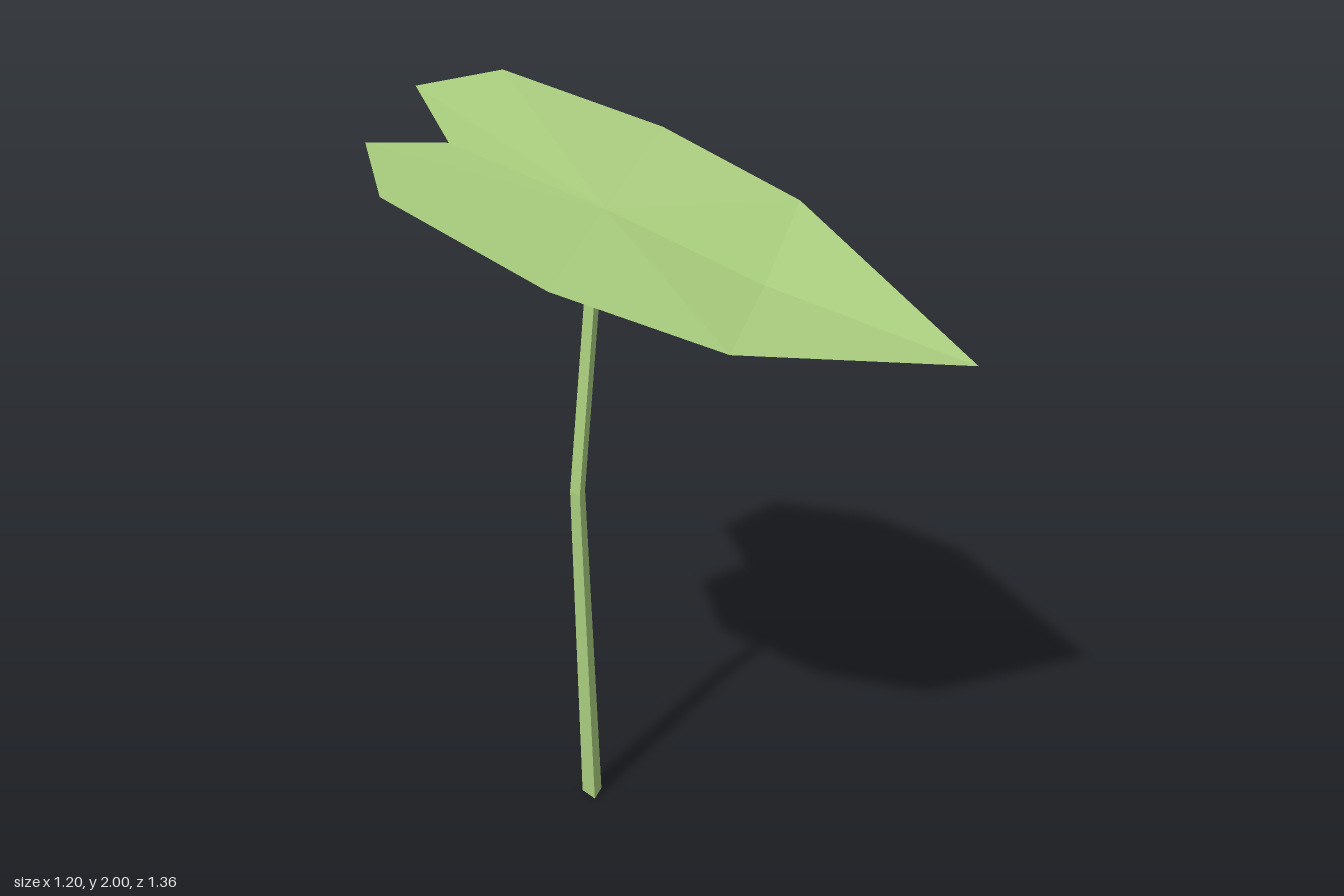
import * as THREE from 'three';

// Builds a flat-shaded mesh from shared points and triangle indices.
function facetMesh(name, points, faces, material) {
  const indexed = new THREE.BufferGeometry();
  indexed.setAttribute('position', new THREE.Float32BufferAttribute(points.flat(), 3));
  indexed.setIndex(faces.flat());
  const geometry = indexed.toNonIndexed();
  geometry.computeVertexNormals();
  const mesh = new THREE.Mesh(geometry, material);
  mesh.name = name;
  return mesh;
}

// Heart-shaped blade: two halves folded along a midrib.
function createLeaf(material) {
  const points = [
    [-0.2, 1.92, -0.45], // notch
    [-0.1, 2.0, -0.68], [0.19, 1.99, -0.67], [0.47, 1.84, -0.36], [0.595, 1.69, 0.01],
    [0.46, 1.455, 0.675], // tip
    [-0.2, 1.62, 0.45], [-0.465, 1.765, 0.155], [-0.6, 1.925, -0.23], [-0.435, 1.965, -0.475],
    [0, 1.78, -0.12], [0.2, 1.615, 0.22], // midrib
  ];
  const base = 10, fold = 11;
  const faces = [];
  for (const i of [0, 1, 2, 3, 6, 7, 8, 9]) faces.push([base, (i + 1) % 10, i]);
  faces.push([base, fold, 4], [base, 6, fold], [fold, 5, 4], [fold, 6, 5]);
  return facetMesh('leaf', points, faces, material);
}

// Three-sided tapering stem with one bend.
function createStem(material) {
  const rings = [
    { x: 0.029, y: 0, z: -0.218, r: 0.032 },
    { x: -0.032, y: 1, z: -0.196, r: 0.023 },
    { x: -0.012, y: 1.77, z: -0.129, r: 0.022 },
  ];
  const points = [], faces = [];
  rings.forEach((ring, row) => {
    for (let i = 0; i < 3; i++) {
      const angle = THREE.MathUtils.degToRad(6 + i * 120);
      points.push([ring.x + ring.r * Math.cos(angle), ring.y, ring.z + ring.r * Math.sin(angle)]);
      if (row === 0) continue;
      const a = (row - 1) * 3 + i, b = (row - 1) * 3 + (i + 1) % 3;
      faces.push([a, a + 3, b], [b, a + 3, b + 3]);
    }
  });
  faces.push([0, 1, 2], [6, 8, 7]); // end caps
  return facetMesh('stem', points, faces, material);
}

export function createModel() {
  const leafGreen = new THREE.MeshStandardMaterial({
    name: 'leaf green', color: 0xb0d583, flatShading: true, side: THREE.DoubleSide,
  });
  const group = new THREE.Group();
  group.name = 'heartLeafPlant';
  group.add(createLeaf(leafGreen), createStem(leafGreen));
  return group;
}
